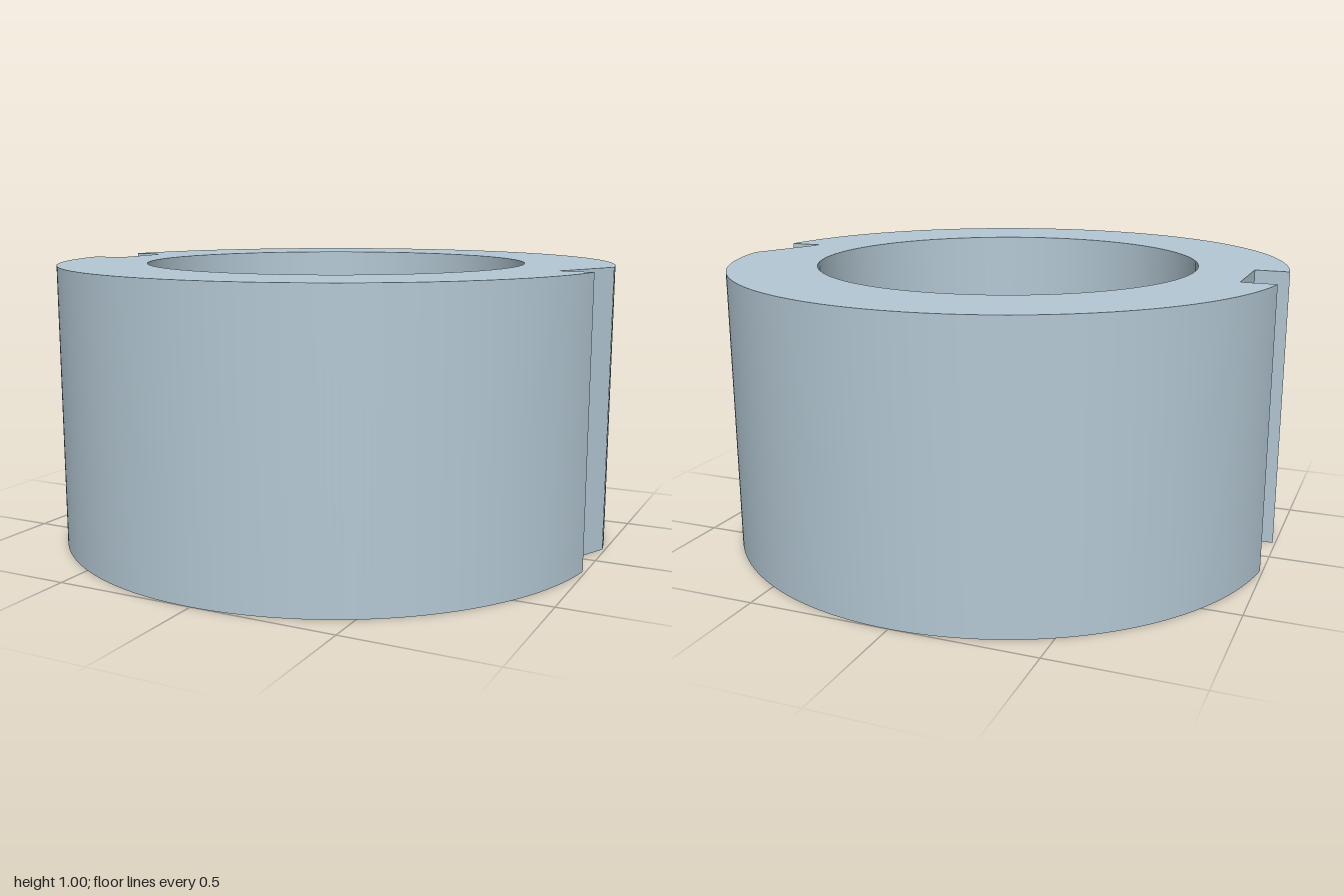
import * as THREE from 'three';
import { toCreasedNormals } from 'three/addons/utils/BufferGeometryUtils.js';

export function createModel() {
  const outerRadius = 1, boreRadius = 0.685, height = 1;
  const slotHalfWidth = 0.135, slotFloor = 0.87;
  const a = Math.asin(slotHalfWidth / outerRadius);

  // Ring outline: two arcs joined by a square slot on each side
  const outline = new THREE.Shape();
  outline.moveTo(slotFloor, slotHalfWidth);
  outline.absarc(0, 0, outerRadius, a, Math.PI - a, false);
  outline.lineTo(-slotFloor, slotHalfWidth);
  outline.lineTo(-slotFloor, -slotHalfWidth);
  outline.absarc(0, 0, outerRadius, Math.PI + a, 2 * Math.PI - a, false);
  outline.lineTo(slotFloor, -slotHalfWidth);
  outline.closePath();

  // Round through bore
  const bore = new THREE.Path();
  bore.absarc(0, 0, boreRadius, 0, Math.PI * 2, true);
  outline.holes.push(bore);

  // Extrude upward, smooth on the curved walls and sharp at the edges
  const extruded = new THREE.ExtrudeGeometry(outline, {
    depth: height, bevelEnabled: false, curveSegments: 64,
  });
  extruded.rotateX(-Math.PI / 2);

  const collar = new THREE.Mesh(
    toCreasedNormals(extruded, 0.5),
    new THREE.MeshStandardMaterial({ color: 0xb4c8d4 }),
  );
  collar.name = 'slottedCollar';

  const group = new THREE.Group();
  group.name = 'collar';
  group.add(collar);
  return group;
}
